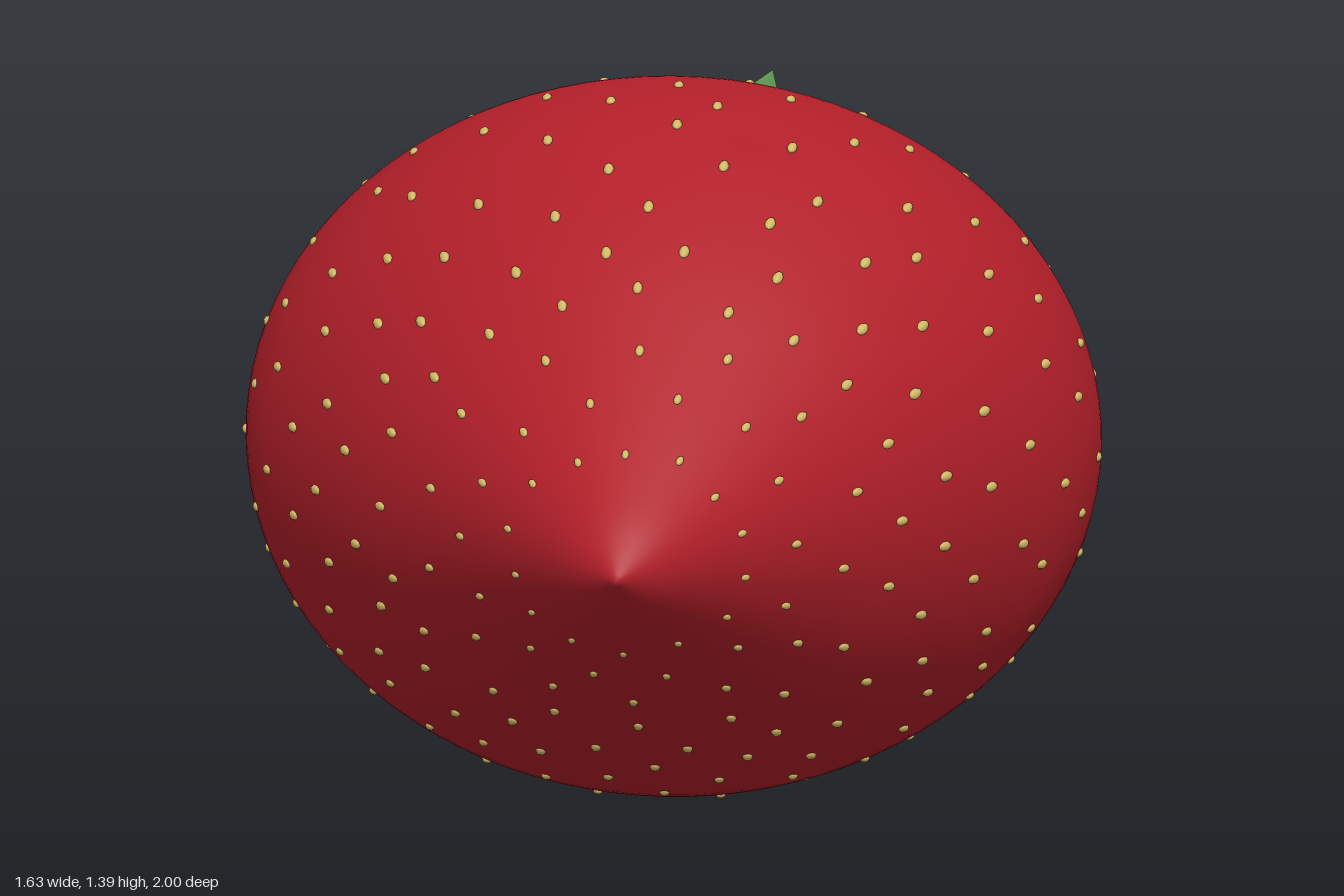
import * as THREE from 'three';
import { mergeVertices } from 'three/addons/utils/BufferGeometryUtils.js';

const MID_Y = 0.69, SQUASH = 0.69 / 0.815;
const red = new THREE.MeshStandardMaterial({ color: 0xb01e28 });
const green = new THREE.MeshStandardMaterial({ color: 0x3f8a2f });
const leafGreen = new THREE.MeshStandardMaterial({ color: 0x3f8a2f, side: THREE.DoubleSide });
const yellow = new THREE.MeshStandardMaterial({ color: 0xd2b863 });

// Fruit profile: (radius in x, position along z) from the stalk end to the tip
const profile = new THREE.SplineCurve([
  [0, -0.81], [0.1, -0.795], [0.22, -0.765], [0.38, -0.7], [0.54, -0.6], [0.66, -0.49], [0.75, -0.37],
  [0.802, -0.25], [0.815, -0.15], [0.77, 0.02], [0.67, 0.2], [0.53, 0.4], [0.365, 0.6],
  [0.195, 0.8], [0.09, 0.92], [0, 1],
].map(([r, z]) => new THREE.Vector2(r, z))).getPoints(75);
profile.forEach((p) => { p.x = Math.max(0, p.x); });
profile[0].x = profile[75].x = 0;

function radiusAt(z) {
  const i = Math.max(1, profile.findIndex((p) => p.y >= z));
  const a = profile[i - 1], b = profile[i];
  return a.x + (b.x - a.x) * (z - a.y) / (b.y - a.y);
}

// Point on the fruit's skin
function skin(z, angle) {
  const r = radiusAt(z);
  return new THREE.Vector3(r * Math.cos(angle), MID_Y + SQUASH * r * Math.sin(angle), z);
}

function makeFruit() {
  let g = new THREE.LatheGeometry(profile, 96);
  g.rotateX(Math.PI / 2).scale(1, SQUASH, 1).translate(0, MID_Y, 0);
  // Small dent on the upper side
  const pos = g.attributes.position;
  for (let i = 0; i < pos.count; i++) {
    const dx = (pos.getX(i) - 0.17) / 0.07, dz = (pos.getZ(i) - 0.07) / 0.03;
    if (pos.getY(i) > 1) pos.setY(i, pos.getY(i) - 0.015 * Math.exp(-dx * dx - dz * dz));
  }
  g.deleteAttribute('uv');
  g.deleteAttribute('normal');
  g = mergeVertices(g, 1e-5);
  g.computeVertexNormals();
  const mesh = new THREE.Mesh(g, red);
  mesh.name = 'fruit';
  return mesh;
}

// Staggered rings of seeds lying along the skin
function makeSeeds() {
  const group = new THREE.Group();
  group.name = 'seeds';
  const geo = new THREE.SphereGeometry(1, 8, 6);
  let seed = 7;
  const jitter = (s) => {
    seed = (seed * 16807) % 2147483647;
    return (seed / 2147483647 - 0.5) * s;
  };
  for (let row = 0; row < 14; row++) {
    const z0 = -0.52 + row * 0.101;
    const size = Math.min(1, 0.45 + radiusAt(z0));
    const count = row < 11 ? 20 : 14;
    for (let k = 0; k < count; k++) {
      const z = z0 + jitter(0.03);
      const a = ((k + (row % 2) / 2) / count) * Math.PI * 2 + jitter(0.08);
      const p = skin(z, a);
      const along = skin(z + 0.01, a).sub(p).normalize();
      const around = skin(z, a + 0.01).sub(p).normalize();
      const out = new THREE.Vector3().crossVectors(around, along).normalize();
      around.crossVectors(along, out);
      const m = new THREE.Mesh(geo, yellow);
      m.name = 'seed';
      m.quaternion.setFromRotationMatrix(new THREE.Matrix4().makeBasis(around, along, out));
      m.scale.set(0.0095, 0.016, 0.007).multiplyScalar(size);
      m.position.copy(p);
      group.add(m);
    }
  }
  return group;
}

// Curved pointed leaf: cross-sections along a midrib, cupped and rippled
function makeLeaf(name, path, across, halfWidth) {
  const curve = new THREE.CatmullRomCurve3(path.map((p) => new THREE.Vector3(...p)));
  const side = new THREE.Vector3(...across).normalize();
  const rows = 18, cols = 8, verts = [], index = [];
  for (let i = 0; i <= rows; i++) {
    const t = i / rows, mid = curve.getPoint(t), tan = curve.getTangent(t);
    const normal = new THREE.Vector3().crossVectors(tan, side).normalize();
    const w = halfWidth * (0.16 * (1 - t) + 0.98 * Math.pow(Math.sin(Math.PI * Math.pow(t, 0.9)), 0.85));
    for (let j = 0; j <= cols; j++) {
      const s = (j / cols) * 2 - 1;
      const lift = w * (0.1 * s * s + 0.05 * s * Math.sin(t * 14));
      const v = mid.clone().addScaledVector(side, s * w).addScaledVector(normal, lift);
      verts.push(v.x, v.y, v.z);
      if (i < rows && j < cols) {
        const a = i * (cols + 1) + j, b = a + cols + 1;
        index.push(a, b, a + 1, b, b + 1, a + 1);
      }
    }
  }
  const g = new THREE.BufferGeometry();
  g.setAttribute('position', new THREE.Float32BufferAttribute(verts, 3));
  g.setIndex(index);
  g.computeVertexNormals();
  const mesh = new THREE.Mesh(g, leafGreen);
  mesh.name = name;
  return mesh;
}

// Slanted stalk, slightly wider at the cut end
function makeStalk() {
  const from = new THREE.Vector3(0, 0.79, -0.785), to = new THREE.Vector3(0, 1.07, -0.965);
  const dir = to.clone().sub(from);
  const g = new THREE.CylinderGeometry(0.04, 0.033, dir.length(), 10);
  const mesh = new THREE.Mesh(g, green);
  mesh.name = 'stalk';
  mesh.position.copy(from).add(to).multiplyScalar(0.5);
  mesh.quaternion.setFromUnitVectors(new THREE.Vector3(0, 1, 0), dir.normalize());
  return mesh;
}

export function createModel() {
  const model = new THREE.Group();
  model.name = 'strawberry';
  model.add(makeFruit(), makeSeeds(), makeStalk());
  model.add(
    makeLeaf('leftLeaf', [[0.02, 0.81, -0.79], [0.16, 0.88, -0.815], [0.34, 0.92, -0.838], [0.64, 0.86, -0.8]],
      [0, 1, 0], 0.145),
    makeLeaf('rightLeaf', [[-0.02, 0.81, -0.79], [-0.15, 0.91, -0.855], [-0.32, 0.99, -0.883], [-0.6, 1.02, -0.86]],
      [0.1, 1, 0], 0.135),
    makeLeaf('upperLeaf', [[0, 0.81, -0.8], [0.03, 0.98, -0.86], [0.07, 1.12, -0.91], [0.15, 1.31, -0.97]],
      [1, -0.28, 0], 0.115),
    makeLeaf('lowerLeaf', [[-0.01, 0.8, -0.785], [-0.12, 0.74, -0.76], [-0.23, 0.66, -0.735], [-0.41, 0.49, -0.695]],
      [-0.4, 0.6, -0.6], 0.1),
  );
  return model;
}
